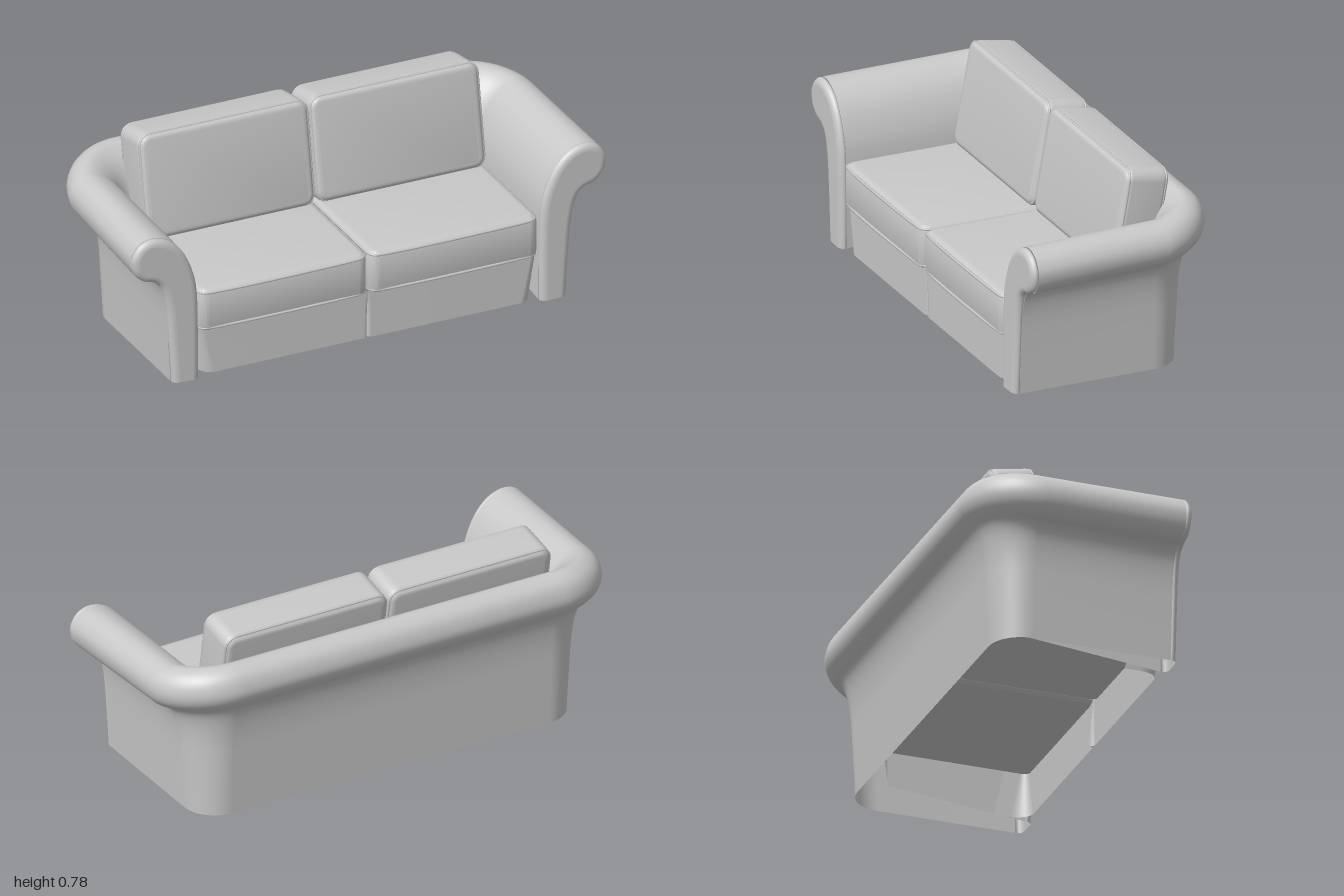
import * as THREE from 'three';
import { toCreasedNormals } from 'three/addons/utils/BufferGeometryUtils.js';

const upholstery = new THREE.MeshStandardMaterial({ color: 0xc8c8c8, side: THREE.DoubleSide });
upholstery.name = 'grey upholstery';

// Wall cross-sections, [outward offset, height], from inner foot over the roll to outer foot
const armProfile = [[.02, 0], [.02, .2], [.025, .37], [.045, .465], [.085, .55], [.14, .606], [.205, .629],
  [.26, .616], [.292, .578], [.3, .54], [.287, .493], [.25, .458], [.205, .443], [.175, .41], [.155, .33], [.143, .2], [.13, 0]];
const backProfile = [[.02, .19], [.02, .25], [.02, .37], [.03, .47], [.06, .56], [.1, .625], [.155, .668],
  [.2, .66], [.232, .63], [.246, .58], [.237, .54], [.212, .507], [.182, .475], [.163, .42], [.15, .33], [.143, .2], [.133, 0]];
const CX = 0.7, CZ = -0.17, SEAM = 0.388;

// Smooth cross-section blended from arm (k = 0) to back (k = 1)
function section(k) {
  const pts = armProfile.map(([d, y], i) => new THREE.Vector2(
    THREE.MathUtils.lerp(d, backProfile[i][0], k), THREE.MathUtils.lerp(y, backProfile[i][1], k)));
  return new THREE.SplineCurve(pts).getPoints(64);
}

// Arm section shrunk inwards by e, keeping both feet on the floor
function insetSection(e) {
  const pts = section(0);
  return pts.map((p, i) => {
    const t = pts[Math.min(i + 1, 64)].clone().sub(pts[Math.max(i - 1, 0)]).normalize();
    return new THREE.Vector2(CX + p.x + t.y * e, Math.max(0, p.y - t.x * e));
  });
}

function mesh(name, geometry) {
  const m = new THREE.Mesh(geometry, upholstery);
  m.name = name;
  return m;
}

// Smooth surface through a row of equal-length point rings
function loft(rings) {
  const n = rings[0].length, index = [];
  for (let i = 0; i < rings.length - 1; i++) {
    for (let j = 0; j < n - 1; j++) {
      const a = i * n + j, c = a + n;
      index.push(a, a + 1, c, a + 1, c + 1, c);
    }
  }
  const g = new THREE.BufferGeometry();
  g.setAttribute('position', new THREE.Float32BufferAttribute(rings.flat(2), 3));
  g.setIndex(index);
  g.computeVertexNormals();
  return g;
}

// Arms and back: one rolled wall swept round a U-shaped path
function wallGeometry() {
  const half = [];
  for (let i = 0; i <= 8; i++) half.push({ z: THREE.MathUtils.lerp(SEAM, CZ, i / 8), a: 0, k: 0.3 * i / 8 });
  for (let i = 1; i <= 14; i++) {
    const a = i / 14 * Math.PI / 2;
    half.push({ z: CZ, a, k: 0.3 + 0.7 * Math.sin(a) });
  }
  const ring = (s, side) => section(s.k).map(p =>
    [side * (CX + p.x * Math.cos(s.a)), p.y, s.z - p.x * Math.sin(s.a)]);
  return loft([...half.map(s => ring(s, 1)), ...half.slice().reverse().map(s => ring(s, -1))]);
}

// Arm front: rounded rim with a seam groove, closed by a flat panel
function armFront(side, label) {
  const steps = [[0.028, 0.416]];
  for (let i = 5; i >= 0; i--) {
    const a = i / 6 * Math.PI / 2;
    steps.push([0.028 * (1 - Math.cos(a)), 0.392 + 0.024 * Math.sin(a)]);
  }
  steps.push([0.005, SEAM]);
  const rings = steps.map(([e, z]) => insetSection(e).map(p => [side * p.x, p.y, z]));
  const shape = new THREE.Shape(insetSection(0.028).map(p => new THREE.Vector2(side * p.x, p.y)));
  const group = new THREE.Group();
  group.name = label + 'ArmFront';
  group.add(mesh(label + 'ArmRim', loft(side > 0 ? rings : rings.reverse())));
  group.add(mesh(label + 'ArmPanel', new THREE.ShapeGeometry(shape).translate(0, 0, 0.416)));
  return group;
}

function roundedRect(w, h, r) {
  const x = w / 2, y = h / 2, s = new THREE.Shape();
  s.moveTo(r - x, -y);
  s.absarc(x - r, r - y, r, -Math.PI / 2, 0);
  s.absarc(x - r, y - r, r, 0, Math.PI / 2);
  s.absarc(r - x, y - r, r, Math.PI / 2, Math.PI);
  s.absarc(r - x, r - y, r, Math.PI, Math.PI * 1.5);
  return s;
}

// Cushion lying in the XY plane, with piping round both faces
function cushion(name, w, h, thick, r) {
  const group = new THREE.Group();
  group.name = name;
  const b = 0.028, inset = 0.006;
  const g = new THREE.ExtrudeGeometry(roundedRect(w, h, r), {
    depth: thick - 2 * b, bevelThickness: b, bevelSize: b, bevelOffset: -b, bevelSegments: 6, curveSegments: 8
  });
  g.translate(0, 0, b - thick / 2);
  group.add(mesh(name + 'Body', toCreasedNormals(g, 0.6)));
  for (const s of [-1, 1]) {
    const pts = roundedRect(w - 2 * inset, h - 2 * inset, r - inset).getSpacedPoints(120).slice(0, -1)
      .map(p => new THREE.Vector3(p.x, p.y, s * (thick / 2 - 0.015)));
    const path = new THREE.CatmullRomCurve3(pts, true);
    group.add(mesh(name + 'Piping', new THREE.TubeGeometry(path, 160, 0.006, 6, true)));
  }
  return group;
}

// Base skirt: upright strip whose pleats at the middle and the arm open towards the floor
function skirtGeometry(side) {
  const rows = [[0, 0, 0.391, 0.372], [0.004, 0.004, 0.391, 0.386], [0.015, 0.015, 0.391, 0.391], [0.3, 0.3, 0.391, 0.391]];
  for (let i = 0; i <= 8; i++) {
    const a = i / 8 * Math.PI / 2;
    rows.push([0.69 + 0.025 * Math.sin(a), 0.645 + 0.055 * Math.sin(a),
      0.366 + 0.025 * Math.cos(a), 0.316 + 0.075 * Math.cos(a)]);
  }
  rows.push([0.715, 0.7, 0.3, 0.25]);
  const rings = rows.map(([xTop, xFoot, zTop, zFoot]) => Array.from({ length: 6 }, (_, j) => {
    const t = j / 5;
    return [side * THREE.MathUtils.lerp(xTop, xFoot, t), 0.2 * (1 - t), THREE.MathUtils.lerp(zTop, zFoot, t)];
  }));
  return loft(side > 0 ? rings : rings.reverse());
}

export function createModel() {
  const sofa = new THREE.Group();
  sofa.name = 'sofa';
  sofa.add(mesh('armsAndBack', wallGeometry()));
  for (const side of [1, -1]) {
    const label = side > 0 ? 'left' : 'right';
    sofa.add(armFront(side, label));
    sofa.add(mesh(label + 'Skirt', skirtGeometry(side)));

    const seat = cushion(label + 'SeatCushion', 0.716, 0.61, 0.18, 0.045);
    seat.rotation.x = -Math.PI / 2;
    seat.position.set(side * 0.36, 0.275, 0.106);
    sofa.add(seat);

    const back = cushion(label + 'BackCushion', 0.716, 0.43, 0.185, 0.05);
    back.rotation.x = -0.175;
    back.position.set(side * 0.36, 0.557, -0.174);
    sofa.add(back);
  }
  return sofa;
}
